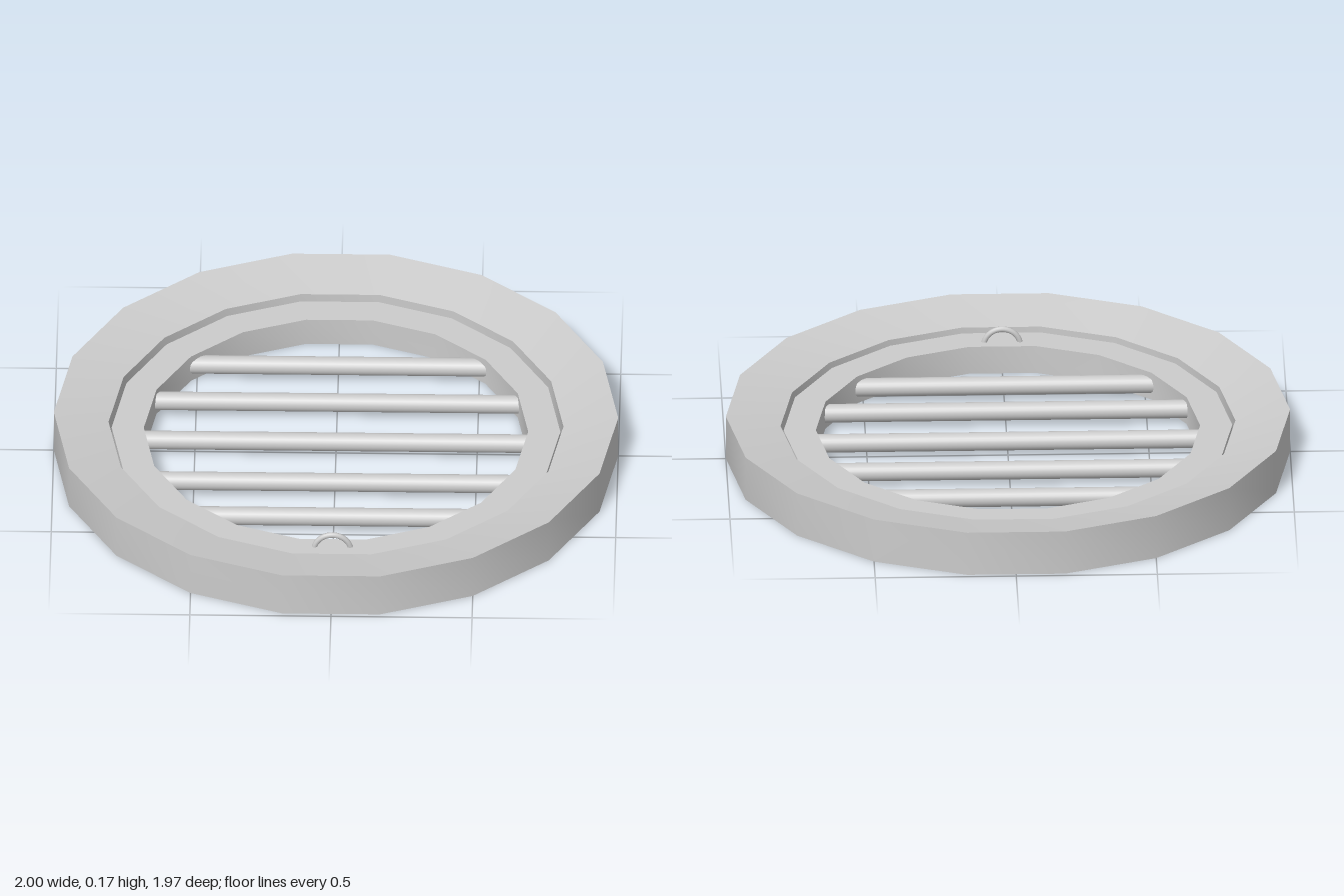
import * as THREE from 'three';
import { toCreasedNormals } from 'three/addons/utils/BufferGeometryUtils.js';

const SIDES = 18;
const material = new THREE.MeshStandardMaterial({ color: 0xcccccc });

function add(parent, name, geometry) {
  const mesh = new THREE.Mesh(geometry, material);
  mesh.name = name;
  parent.add(mesh);
  return mesh;
}

// Closed 18-sided ring: flat underneath, top may slope between the two rims
function ring(inner, outer, innerTop, outerTop) {
  const profile = [
    [inner, 0], [outer, 0], [outer, outerTop], [inner, innerTop], [inner, 0],
  ].map(([r, y]) => new THREE.Vector2(r, y));
  return toCreasedNormals(new THREE.LatheGeometry(profile, SIDES, Math.PI / 2), Math.PI / 6);
}

export function createModel() {
  const model = new THREE.Group();
  model.name = 'barredHatch';

  // Fixed outer frame, its top sloping down toward the opening
  add(model, 'outerFrame', ring(0.806, 1, 0.125, 0.165));

  // Lower hatch ring sitting loosely in the frame
  const hatch = new THREE.Group();
  hatch.name = 'hatch';
  hatch.position.z = 0.005;
  model.add(hatch);
  const hatchTop = 0.105;
  add(hatch, 'hatchRing', ring(0.681, 0.795, hatchTop, hatchTop));

  // Bars across the opening, ends buried in the hatch ring
  [-0.465, -0.24, 0, 0.248, 0.459].forEach((z) => {
    const length = 2 * Math.sqrt(0.71 ** 2 - z ** 2);
    const bar = add(hatch, 'bar', new THREE.CylinderGeometry(0.033, 0.033, length, 24));
    bar.rotation.z = Math.PI / 2;
    bar.position.set(0, hatchTop / 2, z);
  });

  // Small arched pull handle at the front
  const handle = add(hatch, 'handle', new THREE.TorusGeometry(0.065, 0.01, 10, 24, Math.PI));
  handle.position.set(0, 0.088, 0.713);

  return model;
}
